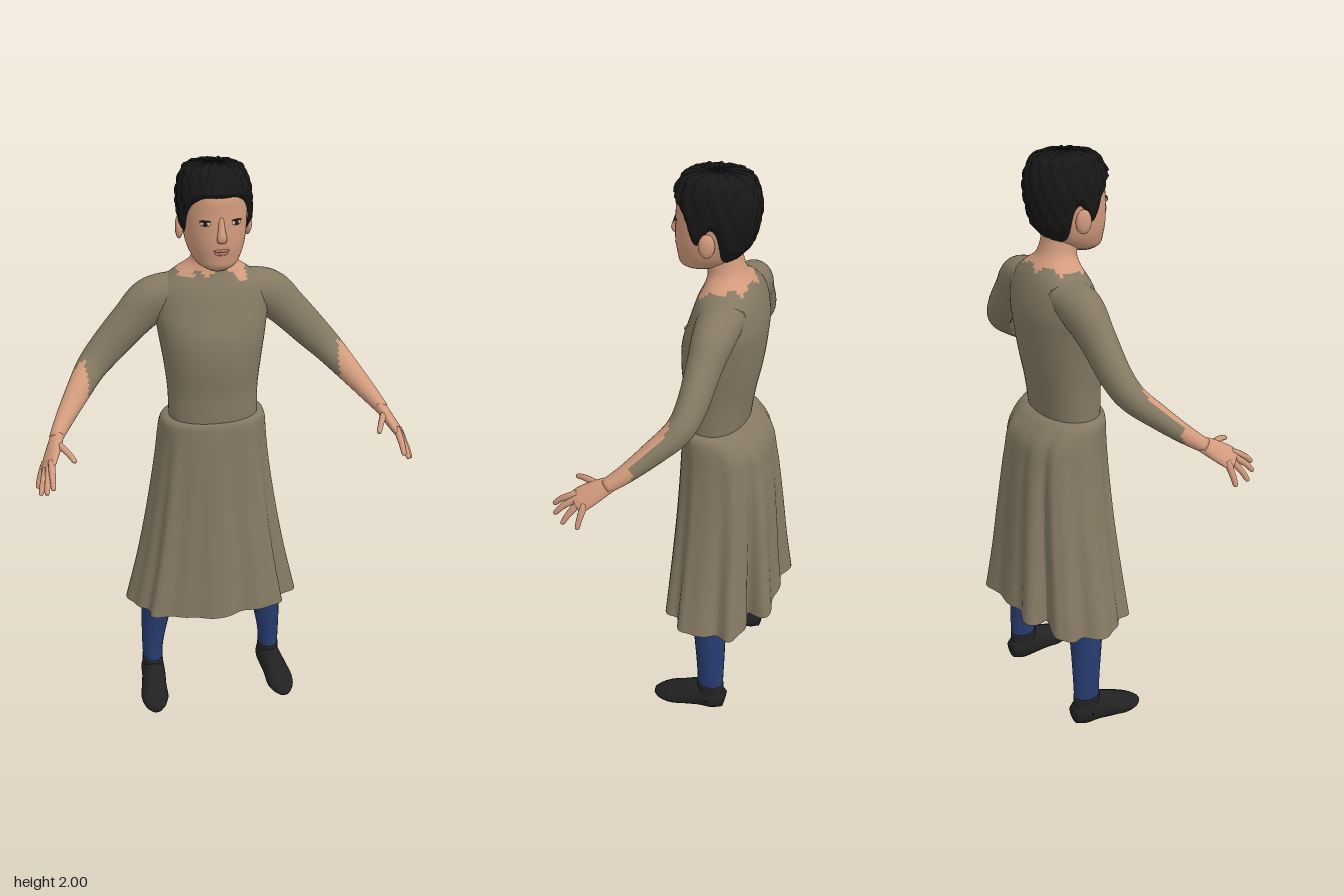
import * as THREE from 'three';

const mat = (name, color, side = THREE.FrontSide) => {
  const m = new THREE.MeshStandardMaterial({ color, side });
  m.name = name;
  return m;
};

// Smooth interpolation through rows of [key, ...values]
function spline(rows) {
  const n = rows[0].length - 1;
  const it = new THREE.CubicInterpolant(
    new Float32Array(rows.map(r => r[0])), new Float32Array(rows.flatMap(r => r.slice(1))), n);
  return t => Array.from(it.evaluate(t));
}

// Closed-ring surface; pick(u, v, centre) chooses a material index for each quad
function surface(name, nu, nv, fn, mats, pick = () => 0) {
  const pts = [], buckets = mats.map(() => []);
  for (let j = 0; j <= nv; j++)
    for (let i = 0; i < nu; i++) pts.push(fn(i / nu, j / nv, j));
  for (let j = 0; j < nv; j++)
    for (let i = 0; i < nu; i++) {
      const a = j * nu + i, b = j * nu + (i + 1) % nu, c = b + nu, d = a + nu;
      const mid = pts[a].clone().add(pts[c]).multiplyScalar(0.5);
      buckets[pick((i + 0.5) / nu, (j + 0.5) / nv, mid)].push(a, b, c, a, c, d);
    }
  const g = new THREE.BufferGeometry().setFromPoints(pts);
  g.setIndex(buckets.flat());
  let start = 0;
  buckets.forEach((b, k) => { g.addGroup(start, b.length, k); start += b.length; });
  g.computeVertexNormals();
  const mesh = new THREE.Mesh(g, mats.length > 1 ? mats : mats[0]);
  mesh.name = name;
  return mesh;
}

// Capped tube through sections [x, y, z, radius along hint, other radius]
function limb(name, secs, hint, mats, { nu = 16, rows = 20, pick, floor = -1 } = {}) {
  const at = spline(secs.map((s, i) => [i, ...s])), last = secs.length - 1;
  return surface(name, nu, rows + 2, (u, v, j) => {
    const t = THREE.MathUtils.clamp((j - 1) / rows, 0, 1) * last;
    const [x, y, z, ra, rb] = at(t);
    const p = at(Math.max(0, t - 0.05)), q = at(Math.min(last, t + 0.05));
    const T = new THREE.Vector3(q[0] - p[0], q[1] - p[1], q[2] - p[2]).normalize();
    const S = new THREE.Vector3(...hint);
    S.addScaledVector(T, -S.dot(T)).normalize();
    const N = S.clone().cross(T), k = j === 0 || j === rows + 2 ? 0 : 1, a = u * Math.PI * 2;
    const out = new THREE.Vector3(x, y, z)
      .addScaledVector(S, Math.sin(a) * ra * k).addScaledVector(N, Math.cos(a) * rb * k);
    out.y = Math.max(out.y, floor);
    return out;
  }, mats, pick);
}

// Horizontal ring point; profile gives [front z, back z, half width], e < 1 squares it
function ring(profile, y, a, e = 1, grow = 0, scale = 1) {
  const [f, b, w] = profile(y), s = Math.sin(a), c = Math.cos(a);
  const pw = v => Math.sign(v) * Math.abs(v) ** e;
  return new THREE.Vector3((w + grow) * pw(s) * scale, y,
    (f + b) / 2 + ((f - b) / 2 + grow) * pw(c) * scale);
}

export function createModel() {
  const skin = mat('skin', 0xd29b7d), dress = mat('dress cloth', 0x857963, THREE.DoubleSide);
  const navy = mat('navy leggings', 0x273c70), black = mat('black shoes', 0x222222);
  const hairMat = mat('black hair', 0x171717, THREE.DoubleSide), lip = mat('lips', 0xb8786a);
  const white = mat('eye white', 0xc9bdb4), dark = mat('dark eye', 0x2a1f1b);
  const model = new THREE.Group();
  model.name = 'figure';
  const TAU = Math.PI * 2;

  const ball = (name, m, [x, y, z], [sx, sy, sz], ry = 0) => {
    const b = new THREE.Mesh(new THREE.SphereGeometry(1, 16, 12), m);
    b.name = name;
    b.position.set(x, y, z);
    b.scale.set(sx, sy, sz);
    b.rotation.y = ry;
    model.add(b);
  };

  // Bodice and neck in one skin, split at a ragged neckline
  const torso = spline([
    [1.08, 0.05, -0.13, 0.145], [1.15, 0.062, -0.14, 0.15], [1.25, 0.065, -0.155, 0.152],
    [1.35, 0.075, -0.175, 0.163], [1.45, 0.07, -0.188, 0.178], [1.53, 0.045, -0.19, 0.187],
    [1.61, 0.018, -0.172, 0.165], [1.65, 0.0, -0.152, 0.115], [1.68, -0.004, -0.128, 0.073],
    [1.72, 0.008, -0.112, 0.06], [1.77, 0.01, -0.105, 0.058]]);
  model.add(surface('bodice and neck', 48, 70,
    (u, v) => ring(torso, 1.08 + 0.69 * v, u * TAU, 0.94), [dress, skin], (u, v, p) => {
      const notch = Math.abs(p.x) > 0.065 && Math.abs(p.x) < 0.105 && p.z > -0.09 ? 0.022 : 0;
      return p.y > 1.656 - notch + 0.01 * Math.sin(u * TAU * 7) ? 1 : 0;
    }));

  // Skirt: boxy flare with folds that deepen towards the hem
  const skirt = spline([
    [0.41, 0.115, -0.285, 0.3], [0.6, 0.1, -0.265, 0.258], [0.8, 0.085, -0.248, 0.222],
    [1.0, 0.074, -0.225, 0.193], [1.09, 0.07, -0.205, 0.184], [1.13, 0.068, -0.172, 0.179],
    [1.155, 0.064, -0.145, 0.17]]);
  model.add(surface('skirt', 144, 33, (u, v, j) => {
    const a = u * TAU, t = Math.min(j / 32, 1), fall = (1 - t) ** 0.8;
    const dip = at => Math.exp(-(((a - at) / 0.11) ** 2));
    const hem = 0.41 + 0.035 * Math.max(0, -Math.cos(a)) ** 2;
    const fold = 0.045 * Math.cos(9 * a + 0.6) + 0.025 * Math.cos(16 * a)
      - 0.22 * (dip(2.45) + dip(TAU - 2.45)) - 0.1 * dip(3.3);
    return ring(skirt, hem + (1.155 - hem) * t, a, 0.82, 0, j > 32 ? 0.82 : 1 + fold * fall);
  }, [dress]));

  // Head
  const skull = spline([
    [1.685, 0.07, 0.0, 0.03], [1.7, 0.087, -0.04, 0.058], [1.73, 0.094, -0.09, 0.08],
    [1.77, 0.1, -0.12, 0.093], [1.82, 0.1, -0.138, 0.1], [1.87, 0.097, -0.148, 0.102],
    [1.92, 0.092, -0.145, 0.098], [1.955, 0.072, -0.13, 0.086], [1.98, 0.042, -0.105, 0.064],
    [1.988, 0.0, -0.06, 0.03]]);
  model.add(surface('head', 40, 42, (u, v, j) =>
    ring(skull, 1.685 + 0.303 * THREE.MathUtils.clamp((j - 1) / 40, 0, 1), u * TAU, 0.95, 0,
      j === 0 || j === 42 ? 0 : 1), [skin]));

  // Hair cap: rows run from a shaped hairline up to the crown
  const hairline = spline([
    [0, 1.92], [35, 1.913], [60, 1.87], [75, 1.805], [85, 1.8], [95, 1.85], [108, 1.83],
    [120, 1.765], [140, 1.735], [180, 1.735]]);
  model.add(surface('hair', 96, 31, (u, v, j) => {
    const a = u * TAU, t = Math.min(j / 30, 1);
    const low = hairline(Math.min(a, TAU - a) * 180 / Math.PI)[0];
    const y = low + (1.988 - low) * t;
    const tuft = 0.0025 * (Math.sin(17 * a + 60 * y) + Math.sin(29 * a - 90 * y));
    const p = ring(skull, y, a, 0.95, 0.002 + (0.012 + tuft) * Math.min(1, t * 6), j > 30 ? 0 : 1);
    p.y += 0.011 * t + tuft * t * 0.5;
    return p;
  }, [hairMat]));

  // Nose and mouth
  model.add(limb('nose', [[0, 1.86, 0.09, 0.009, 0.008], [0, 1.825, 0.099, 0.011, 0.011],
    [0, 1.8, 0.105, 0.016, 0.014], [0, 1.788, 0.1, 0.014, 0.009]], [1, 0, 0], [skin], { rows: 10 }));
  ball('upper lip', lip, [0, 1.759, 0.097], [0.025, 0.005, 0.006]);
  ball('lower lip', lip, [0, 1.75, 0.096], [0.021, 0.006, 0.006]);

  for (const s of [1, -1]) {
    const side = s > 0 ? 'left ' : 'right ';
    const m = rows => rows.map(([x, ...r]) => [x * s, ...r]);

    // Face details and ear
    const e = ring(skull, 1.842, 0.47 * s, 0.95);
    ball(side + 'eye', white, e.toArray(), [0.017, 0.0075, 0.005], 0.35 * s);
    ball(side + 'iris', dark, [e.x, e.y, e.z + 0.002], [0.008, 0.007, 0.005], 0.35 * s);
    ball(side + 'upper lid', dark, [e.x, e.y + 0.008, e.z], [0.019, 0.0025, 0.005], 0.35 * s);
    ball(side + 'ear', skin, [0.107 * s, 1.803, -0.032], [0.013, 0.038, 0.025], 0.3 * s);

    // Arm: the sleeve runs to the wrist behind, bare forearm in front
    model.add(limb(side + 'arm', m([
      [0.1, 1.585, -0.085, 0.075, 0.055], [0.19, 1.55, -0.085, 0.066, 0.074],
      [0.26, 1.488, -0.08, 0.054, 0.066], [0.345, 1.4, -0.072, 0.047, 0.058],
      [0.402, 1.342, -0.05, 0.043, 0.05], [0.455, 1.285, 0.01, 0.037, 0.04],
      [0.505, 1.23, 0.075, 0.029, 0.03], [0.54, 1.19, 0.13, 0.023, 0.021]]),
    [0, 0, 1], [dress, skin], { nu: 24, rows: 48, pick: (u, v, p) =>
      Math.abs(p.x) > 0.525 || (Math.abs(p.x) > 0.42 && p.z > -0.03 && Math.sin(u * TAU) > 0.1) ? 1 : 0 }));

    // Hand
    const spread = [0.4 * s, -0.356, -0.845];
    model.add(limb(side + 'palm', m([
      [0.533, 1.198, 0.118, 0.024, 0.02], [0.55, 1.172, 0.16, 0.034, 0.018],
      [0.568, 1.145, 0.2, 0.039, 0.015], [0.577, 1.132, 0.217, 0.035, 0.011]]), spread, [skin]));
    const fingers = {
      index: [0.563, 1.147, 0.232, 0.565, 1.1, 0.297], middle: [0.571, 1.139, 0.221, 0.586, 1.08, 0.287],
      ring: [0.579, 1.132, 0.206, 0.604, 1.062, 0.255], little: [0.587, 1.125, 0.188, 0.61, 1.06, 0.202],
      thumb: [0.535, 1.185, 0.16, 0.49, 1.165, 0.25]
    };
    for (const [f, [ax, ay, az, bx, by, bz]] of Object.entries(fingers)) {
      const mix = (k, lift, r) => [ax + (bx - ax) * k, ay + (by - ay) * k + lift, az + (bz - az) * k, r, r];
      model.add(limb(side + f + ' finger', m([mix(-0.25, 0, 0.01), mix(0.15, 0.003, 0.011),
        mix(0.6, 0.006, 0.0095), mix(0.92, 0.001, 0.008), mix(1, 0, 0.005)]), spread, [skin], { nu: 10, rows: 10 }));
    }

    // Leg and shoe
    model.add(limb(side + 'leg', m([
      [0.225, 0.09, -0.09, 0.035, 0.047], [0.222, 0.2, -0.09, 0.041, 0.05],
      [0.2, 0.4, -0.08, 0.06, 0.06], [0.165, 0.65, -0.075, 0.075, 0.075],
      [0.115, 0.92, -0.07, 0.082, 0.09], [0.09, 1.05, -0.06, 0.07, 0.08]]), [1, 0, 0], [navy], { nu: 20 }));
    model.add(limb(side + 'shoe cuff', m([
      [0.226, 0.05, -0.088, 0.044, 0.056], [0.225, 0.09, -0.09, 0.039, 0.051],
      [0.225, 0.118, -0.09, 0.038, 0.05]]), [1, 0, 0], [black], { nu: 20, rows: 6 }));
    model.add(limb(side + 'shoe', m([
      [0.225, 0.045, -0.145, 0.026, 0.035], [0.225, 0.05, -0.11, 0.042, 0.052],
      [0.228, 0.052, -0.05, 0.044, 0.055], [0.235, 0.043, 0, 0.046, 0.048],
      [0.24, 0.03, 0.055, 0.05, 0.036], [0.242, 0.022, 0.095, 0.037, 0.024],
      [0.242, 0.018, 0.118, 0.018, 0.012]]), [1, 0, 0], [black], { nu: 20, floor: 0.002 }));
  }
  return model;
}
